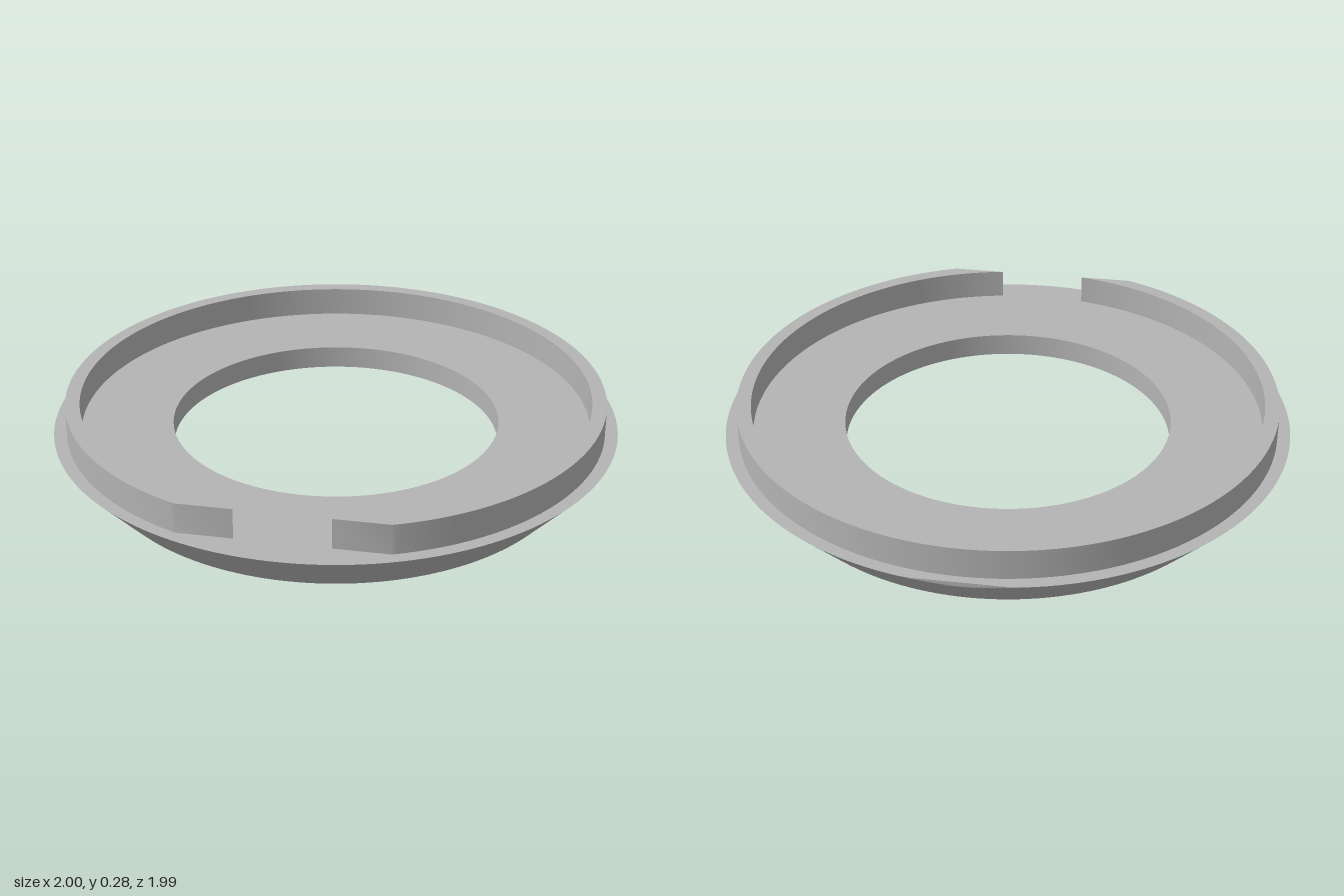
import * as THREE from 'three';
import { toCreasedNormals } from 'three/addons/utils/BufferGeometryUtils.js';

const SEGMENTS = 160;
const RIM_Y = 0.168;     // height of the flat upper face
const WALL_TOP = 0.275;  // height of the raised lip
const BACK_FLAT = 0.985; // distance of the small flat at the back

// Bevelled ring with a stepped, conical recess underneath
function ringGeometry() {
  const profile = [[0.58, 0.085], [0.665, 0.085], [0.757, 0], [0.845, 0]];
  // extra rows near the rim give the back flat a clean edge
  for (const r of [0.985, 0.989, 0.993, 0.997, 1]) {
    profile.push([r, RIM_Y * (r - 0.845) / 0.155]);
  }
  profile.push([0.985, RIM_Y], [0.58, RIM_Y], [0.58, 0.085]);
  const geometry = new THREE.LatheGeometry(
    profile.map(([r, y]) => new THREE.Vector2(r, y)), SEGMENTS);
  const pos = geometry.attributes.position;
  for (let i = 0; i < pos.count; i++) {
    pos.setZ(i, Math.max(pos.getZ(i), -BACK_FLAT));
  }
  return toCreasedNormals(geometry, 0.4);
}

// Raised lip: an open ring whose front is sliced off by a straight plane
function lipGeometry() {
  const outer = 0.955, inner = 0.904, cut = 0.89;
  const a = Math.asin(cut / outer), b = Math.asin(cut / inner);
  const shape = new THREE.Shape();
  shape.absarc(0, 0, outer, -a, Math.PI + a, false);
  shape.absarc(0, 0, inner, Math.PI + b, -b, true);
  const geometry = new THREE.ExtrudeGeometry(shape, {
    depth: WALL_TOP - RIM_Y, bevelEnabled: false, curveSegments: SEGMENTS,
  });
  geometry.rotateX(-Math.PI / 2).translate(0, RIM_Y, 0);
  return toCreasedNormals(geometry, 0.4);
}

export function createModel() {
  const grey = new THREE.MeshStandardMaterial({ color: 0xb4b4b4 });
  grey.name = 'plain grey';

  const group = new THREE.Group();
  group.name = 'adapterRing';
  const add = (name, geometry) => {
    const mesh = new THREE.Mesh(geometry, grey);
    mesh.name = name;
    mesh.position.z = -0.0075; // re-centre after the back flat
    group.add(mesh);
  };
  add('bevelledRing', ringGeometry());
  add('raisedLip', lipGeometry());
  return group;
}
